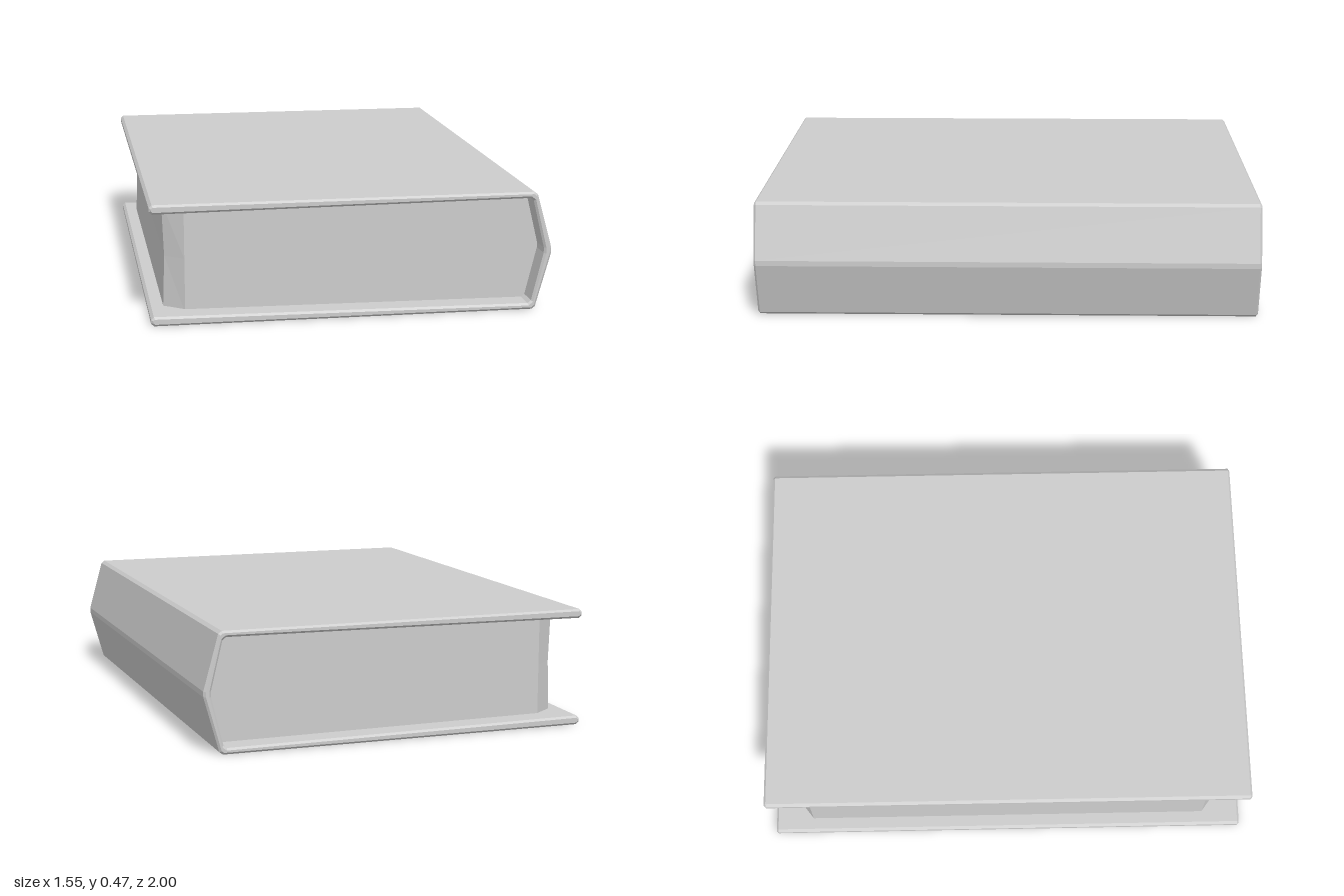
import * as THREE from 'three';

const H = 0.467; // book height
const MID = H / 2;

// Polygon with every corner cut by a small chamfer.
function chamferedShape(points, cut) {
  const v = points.map(([x, y]) => new THREE.Vector2(x, y));
  const out = [];
  v.forEach((p, i) => {
    const toward = (q) => p.clone().add(q.clone().sub(p).setLength(cut));
    out.push(toward(v[(i + v.length - 1) % v.length]), toward(v[(i + 1) % v.length]));
  });
  return new THREE.Shape(out);
}

// Two boards joined by a pointed spine, as one beveled extrusion along z.
function coverGeometry() {
  const lower = [[-0.777, 0.036], [-0.777, 0], [0.713, 0]];
  const inner = [0.697, 0.024];
  const mirror = ([x, y]) => [x, H - y];
  const outline = [
    ...lower, [0.778, MID], ...[...lower].reverse().map(mirror),
    mirror(inner), [0.748, MID], inner,
  ];
  const bevel = 0.008;
  const geometry = new THREE.ExtrudeGeometry(chamferedShape(outline, 0.011), {
    depth: 2 - 2 * bevel, bevelEnabled: true, bevelSegments: 1,
    bevelSize: bevel, bevelThickness: bevel, bevelOffset: -bevel,
  });
  return geometry.translate(0, 0, -1 + bevel);
}

// Page block: plan outline with cut fore-edge corners, raised in two steps.
function pagesGeometry() {
  const plan = [[-0.72, -0.84], [-0.64, -0.9], [0.705, -0.9], [0.705, 0.9], [-0.64, 0.9], [-0.72, 0.84]];
  const bottom = 0.02;
  const geometry = new THREE.ExtrudeGeometry(
    new THREE.Shape(plan.map(([x, y]) => new THREE.Vector2(x, y))),
    { depth: H - 2 * bottom, steps: 2, bevelEnabled: false },
  );
  geometry.rotateX(-Math.PI / 2).translate(0, bottom, 0);
  // At mid height the fore edge is slightly hollow and the back follows the spine.
  const pos = geometry.attributes.position;
  for (let i = 0; i < pos.count; i++) {
    if (Math.abs(pos.getY(i) - MID) > 0.01) continue;
    const x = pos.getX(i);
    if (x < -0.7) pos.setX(i, x + 0.008);
    else if (x > 0.7) pos.setX(i, 0.753);
  }
  geometry.computeVertexNormals();
  return geometry;
}

export function createModel() {
  const grey = new THREE.MeshStandardMaterial({ color: 0xcccccc });
  grey.name = 'light grey';

  const book = new THREE.Group();
  book.name = 'book';
  const add = (name, geometry) => {
    const mesh = new THREE.Mesh(geometry, grey);
    mesh.name = name;
    book.add(mesh);
  };
  add('cover', coverGeometry());
  add('pages', pagesGeometry());
  return book;
}
